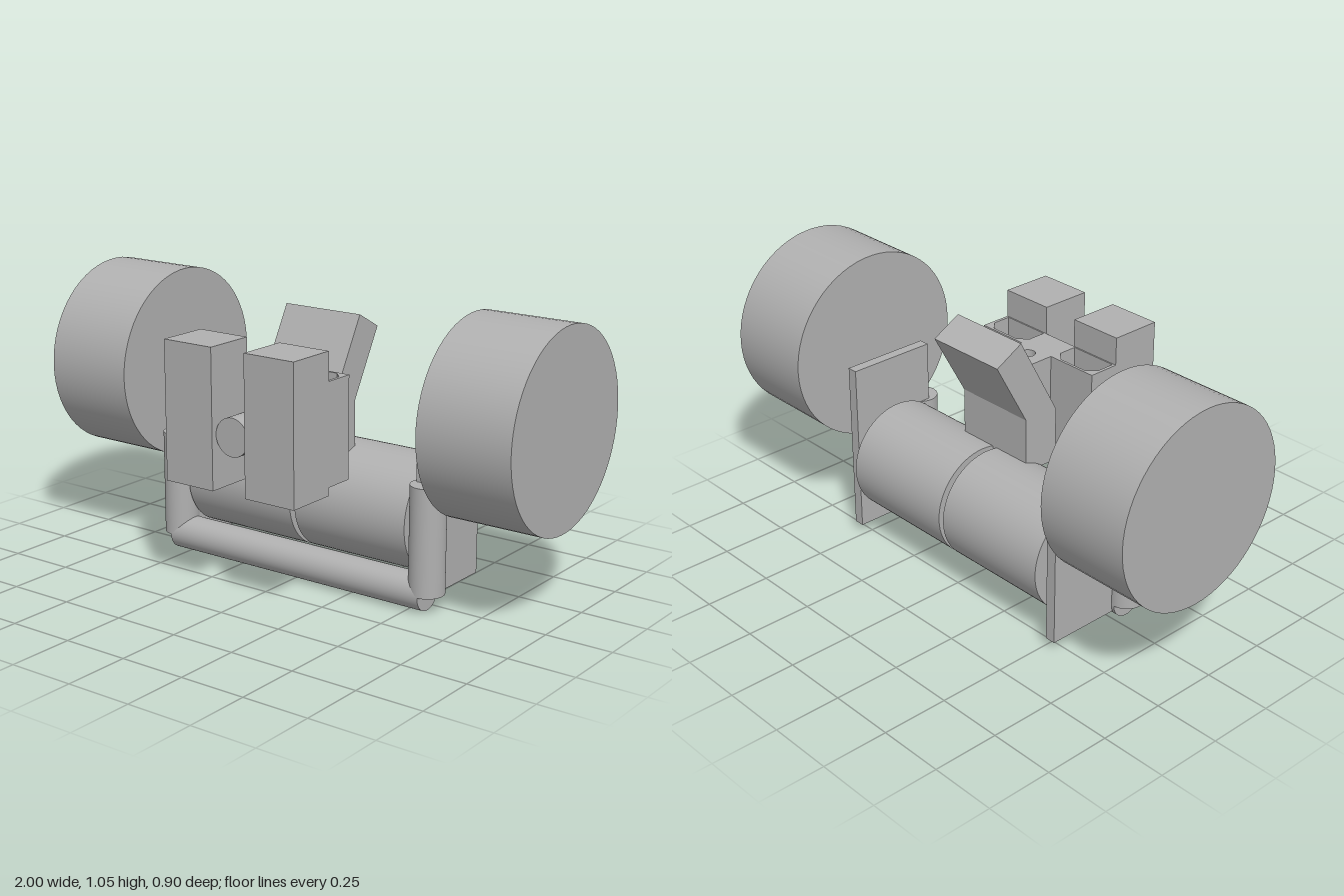
import * as THREE from 'three';

export function createModel() {
  const model = new THREE.Group();
  model.name = 'rollerVehicle';
  const grey = new THREE.MeshStandardMaterial({ color: 0xb0b0b0 });
  grey.name = 'plain grey';

  function add(name, geometry, x = 0, y = 0, z = 0) {
    const mesh = new THREE.Mesh(geometry, grey);
    mesh.name = name;
    mesh.position.set(x, y, z);
    model.add(mesh);
    return mesh;
  }
  // Box from its minimum and maximum corners
  function box(name, [x0, y0, z0], [x1, y1, z1]) {
    return add(name, new THREE.BoxGeometry(x1 - x0, y1 - y0, z1 - z0),
      (x0 + x1) / 2, (y0 + y1) / 2, (z0 + z1) / 2);
  }
  const rodX = (r, length) => new THREE.CylinderGeometry(r, r, length, 64).rotateZ(Math.PI / 2);
  const rodZ = (r, length) => new THREE.CylinderGeometry(r, r, length, 48).rotateX(Math.PI / 2);
  const points = (list) => list.map(([x, y]) => new THREE.Vector2(x, y));

  for (const s of [-1, 1]) {
    const side = s > 0 ? 'left' : 'right';
    const span = (a, b) => [Math.min(s * a, s * b), Math.max(s * a, s * b)];

    // Wheel, drum, side plate and upright post
    add(side + 'Wheel', rodX(0.36, 0.36), s * 0.82, 0.69, -0.09);
    add(side + 'Drum', rodX(0.21, 0.475), s * 0.2485, 0.295, -0.115);
    const [p0, p1] = span(0.507, 0.547);
    box(side + 'SidePlate', [p0, 0.035, -0.29], [p1, 0.69, 0.055]);
    add(side + 'Post', new THREE.CylinderGeometry(0.065, 0.065, 0.395, 48), s * 0.557, 0.2625, 0.055);

    // Front block and small port beside the centre line
    const [b0, b1] = span(0.071, 0.28);
    box(side + 'FrontBlock', [b0, 0.415, 0.255], [b1, 0.925, 0.45]);
    add(side + 'PortRing', new THREE.TorusGeometry(0.022, 0.004, 8, 32), s * 0.045, 0.725, 0.255);
    add(side + 'Port', rodZ(0.018, 0.008), s * 0.045, 0.725, 0.255);
  }

  // Lower cross bar
  add('crossBar', rodX(0.065, 1.12), 0, 0.065, 0.055);

  // Bracket frame with two chamfered openings, drawn in plan as (x, -z)
  const frame = new THREE.Shape(points([[-0.28, -0.255], [0.28, -0.255], [0.28, -0.137], [-0.28, -0.137]]));
  for (const s of [-1, 1]) {
    frame.holes.push(new THREE.Path(points([
      [0.08, -0.25], [0.268, -0.25], [0.268, -0.18], [0.235, -0.147], [0.115, -0.147], [0.08, -0.18],
    ].map(([x, y]) => [s * x, y]))));
  }
  const up = (shape, height) => new THREE.ExtrudeGeometry(shape,
    { depth: height, bevelEnabled: false, curveSegments: 24 }).rotateX(-Math.PI / 2);
  add('bracketFrame', up(frame, 0.375), 0, 0.445, 0);

  // Centre column with a round socket
  const column = new THREE.Shape(points([[-0.075, -0.137], [0.075, -0.137], [0.075, -0.01], [-0.075, -0.01]]));
  column.holes.push(new THREE.Path().absarc(0, -0.095, 0.028, 0, Math.PI * 2, true));
  add('centreColumn', up(column, 0.375), 0, 0.445, 0);
  add('socketPin', new THREE.CylinderGeometry(0.018, 0.018, 0.33, 24), 0, 0.61, 0.095);

  // Round nose between the front blocks
  add('nose', rodZ(0.07, 0.175), 0, 0.615, 0.3425);

  // Bent seat: upright base with a back that leans rearward, profile as (z, y)
  const seat = new THREE.Shape(points([
    [-0.065, 0.46], [0.08, 0.46], [0.08, 0.665], [-0.09, 0.975], [-0.2, 0.915], [-0.065, 0.67],
  ]));
  add('bentSeat', new THREE.ExtrudeGeometry(seat, { depth: 0.325, bevelEnabled: false })
    .rotateY(-Math.PI / 2).translate(0.1625, 0, 0));

  return model;
}
